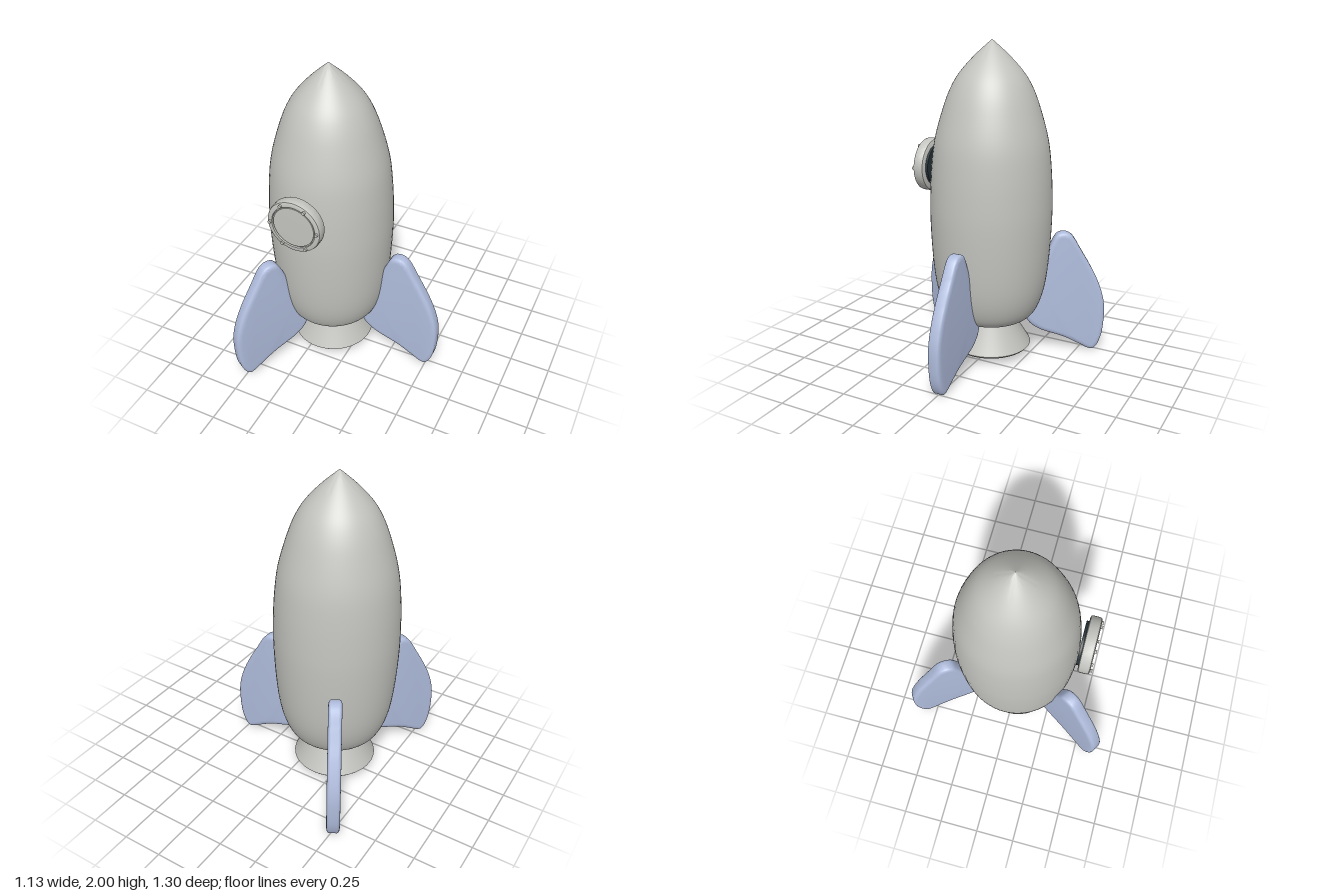
import * as THREE from 'three';
import { toCreasedNormals } from 'three/addons/utils/BufferGeometryUtils.js';

const AXIS_X = -0.175;

const makeMaterial = (name, color) => {
  const m = new THREE.MeshStandardMaterial({ color });
  m.name = name;
  return m;
};
const vectors = (pairs) => pairs.map(([x, y]) => new THREE.Vector2(x, y));
const lathe = (points, segments) =>
  toCreasedNormals(new THREE.LatheGeometry(points, segments), 0.6);

export function createModel() {
  const grey = makeMaterial('hull grey', 0xc4c4c0);
  const blue = makeMaterial('fin blue', 0xb0bddd);
  const dark = makeMaterial('gasket dark', 0x26343a);

  const rocket = new THREE.Group();
  rocket.name = 'rocket';
  const add = (name, geometry, material, parent = rocket) => {
    const mesh = new THREE.Mesh(geometry, material);
    mesh.name = name;
    parent.add(mesh);
    return mesh;
  };

  // Hull: smooth profile from the rounded base to the pointed nose
  const hullCurve = new THREE.SplineCurve(vectors([
    [0.21, 0.25], [0.255, 0.272], [0.295, 0.32], [0.33, 0.41], [0.354, 0.53],
    [0.37, 0.7], [0.379, 0.9], [0.378, 1.05], [0.368, 1.23], [0.345, 1.41],
    [0.292, 1.6], [0.245, 1.72], [0.19, 1.81], [0.1, 1.91], [0, 2],
  ]));
  const hullPoints = [new THREE.Vector2(0, 0.25), ...hullCurve.getPoints(56)];
  hullPoints[hullPoints.length - 1].x = 0;
  add('hull', lathe(hullPoints, 64), grey);

  // Nozzle: hollow bell with a bevelled lip
  add('nozzle', lathe(vectors([
    [0, 0.22], [0.1, 0.22], [0.14, 0.19], [0.215, 0.075], [0.222, 0.052],
    [0.245, 0.052], [0.258, 0.066], [0.255, 0.075], [0.155, 0.235], [0.15, 0.26],
  ]), 48), grey);
  add('igniter', new THREE.CylinderGeometry(0.008, 0.008, 0.02, 10), grey)
    .position.y = 0.212;

  // Fins: rounded plates, three around the hull
  const outline = new THREE.SplineCurve(vectors([
    [0.22, 0.25], [0.25, 0.195], [0.325, 0.143], [0.475, 0.09], [0.59, 0.03],
    [0.635, 0.006], [0.67, 0.002], [0.7, 0.035], [0.725, 0.11], [0.735, 0.22],
    [0.73, 0.33], [0.7, 0.44], [0.65, 0.55], [0.575, 0.68], [0.525, 0.765],
    [0.49, 0.797], [0.45, 0.804], [0.415, 0.79], [0.39, 0.75], [0.365, 0.69],
  ]));
  const finShape = new THREE.Shape([
    ...outline.getPoints(72), ...vectors([[0.33, 0.6], [0.3, 0.42], [0.25, 0.31]]),
  ]);
  const finGeometry = toCreasedNormals(new THREE.ExtrudeGeometry(finShape, {
    depth: 0.046, bevelThickness: 0.017, bevelSize: 0.03, bevelOffset: -0.03, bevelSegments: 4,
  }).translate(0, 0, -0.023), 0.7);
  for (let i = 0; i < 3; i++) {
    add('fin', finGeometry, blue).rotation.y = (i * Math.PI * 2) / 3;
  }

  // Porthole: its local y axis points to the front
  const porthole = new THREE.Group();
  porthole.name = 'porthole';
  porthole.position.y = 1.2;
  porthole.rotation.x = Math.PI / 2;
  rocket.add(porthole);
  add('portholeFrame', lathe(vectors([
    [0, 0.395], [0.153, 0.395], [0.163, 0.4], [0.167, 0.41], [0.167, 0.45],
    [0.163, 0.461], [0.153, 0.466], [0.136, 0.466], [0.134, 0.456],
    [0.129, 0.456], [0.127, 0.463], [0, 0.465],
  ]), 48), grey, porthole);
  add('gasket', new THREE.CylinderGeometry(0.13, 0.13, 0.016, 48), dark, porthole)
    .position.y = 0.388;
  for (let i = 0; i < 6; i++) {
    const a = (i * Math.PI) / 3;
    add('bolt', new THREE.CylinderGeometry(0.01, 0.01, 0.014, 12), grey, porthole)
      .position.set(Math.cos(a) * 0.147, 0.47, Math.sin(a) * 0.147);
  }

  rocket.position.x = AXIS_X;
  const model = new THREE.Group();
  model.name = 'model';
  model.add(rocket);
  return model;
}
